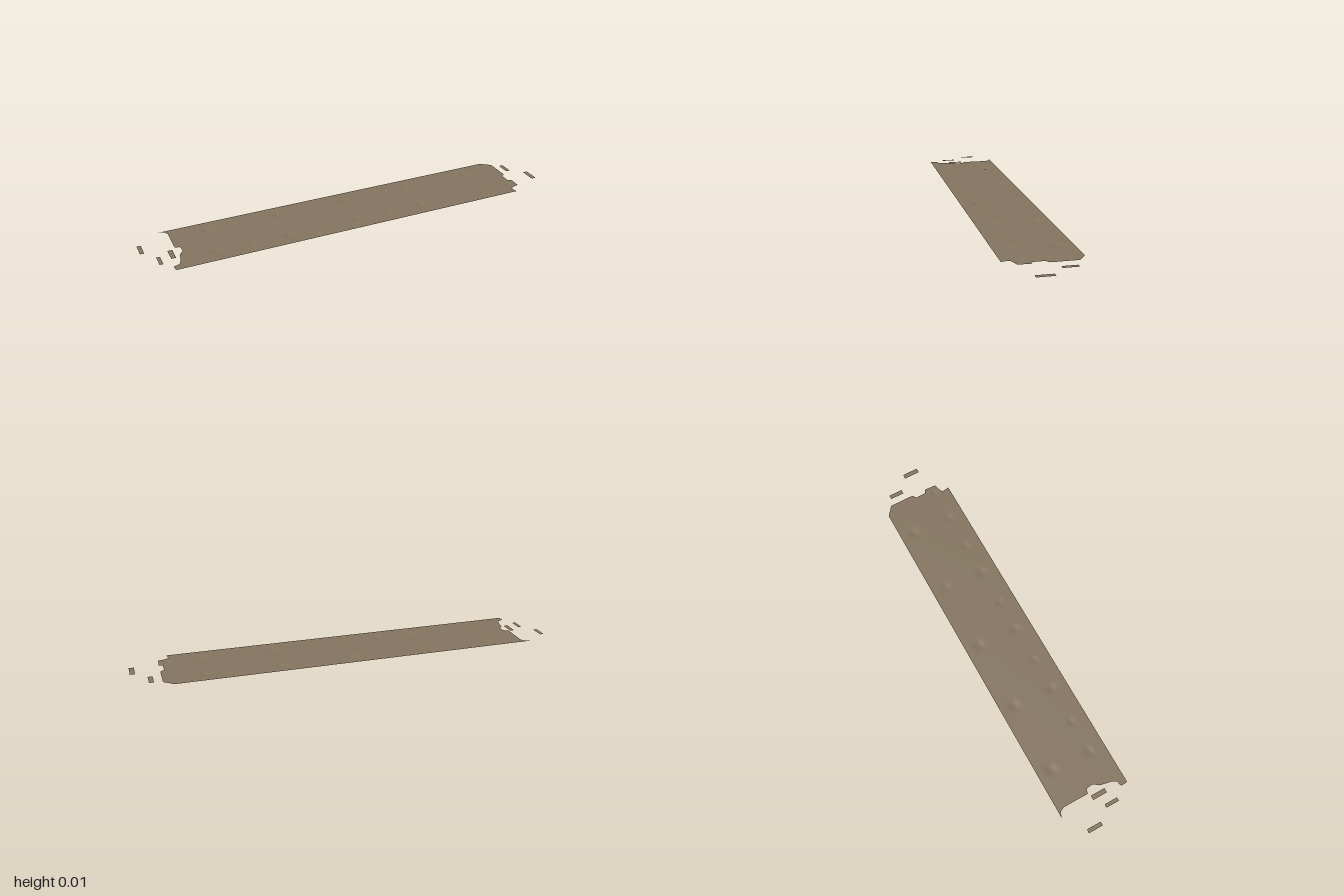
import * as THREE from 'three';

// Ragged end profiles as [across, along] pairs
const FAR_END = [[-0.224, 1.078], [-0.177, 1.138], [-0.021, 1.138], [-0.006, 1.114], [0.06, 1.114],
  [0.071, 1.138], [0.146, 1.134], [0.15, 1.105], [0.166, 1.071], [0.213, 1.078]];
const NEAR_END = [[-0.224, -1.138], [-0.212, -1.103], [-0.184, -1.089], [-0.021, -1.09], [-0.014, -1.061],
  [0.032, -1.057], [0.064, -1.082], [0.134, -1.096], [0.163, -1.11], [0.17, -1.145], [0.213, -1.142]];

function sample(profile, v) {
  for (let i = 1; i < profile.length; i++) {
    const [v0, u0] = profile[i - 1], [v1, u1] = profile[i];
    if (v <= v1) return THREE.MathUtils.lerp(u0, u1, Math.max(0, (v - v0) / (v1 - v0)));
  }
  return profile[profile.length - 1][1];
}

// Worn hollows repeating along the strip: [along, across, depth, radius]
const hollows = [];
for (let i = 0; i < 5; i++) {
  const u = 0.895 - i * 0.44;
  hollows.push([u, -0.135, 0.006, 0.028]);
  hollows.push([u - 0.015, 0.113, 0.006, 0.026]);
  hollows.push([u + 0.19, 0.113, 0.004, 0.02]);
}

function surfaceHeight(u, v) {
  let y = 0.01;
  for (const [hu, hv, depth, r] of hollows) {
    const du = (u - hu) / r, dv = (v - hv) / r;
    y -= depth * Math.exp(-du * du - dv * dv);
  }
  return Math.max(0, y);
}

export function createModel() {
  const model = new THREE.Group();
  model.name = 'dirtPath';
  const earth = new THREE.MeshStandardMaterial({ color: 0x84755f });
  earth.name = 'brown earth';
  earth.side = THREE.DoubleSide;

  // Everything lies along a diagonal
  const strip = new THREE.Group();
  strip.name = 'diagonalStrip';
  strip.rotation.y = Math.PI / 4;
  model.add(strip);

  // Main path sheet: a grid stretched between the two ragged ends
  const sheet = new THREE.PlaneGeometry(1, 0.437, 200, 88).rotateX(-Math.PI / 2);
  const pos = sheet.attributes.position;
  for (let i = 0; i < pos.count; i++) {
    const v = pos.getZ(i) - 0.0055;
    const u = THREE.MathUtils.lerp(sample(NEAR_END, v), sample(FAR_END, v), pos.getX(i) + 0.5);
    pos.setXYZ(i, u, surfaceHeight(u, v), v);
  }
  sheet.computeVertexNormals();
  const path = new THREE.Mesh(sheet, earth);
  path.name = 'path';
  strip.add(path);

  // Loose flat pieces beyond the ends: [x, z, length, width]
  const pieces = [[0.772, -0.925, 0.088, 0.028], [0.948, -0.882, 0.1, 0.03],
    [-0.96, 0.84, 0.092, 0.024], [-0.769, 0.817, 0.092, 0.028], [-0.796, 0.9, 0.083, 0.022]];
  for (const [x, z, length, width] of pieces) {
    const piece = new THREE.Mesh(new THREE.PlaneGeometry(width, length).rotateX(-Math.PI / 2), earth);
    piece.name = 'loosePiece';
    piece.position.set((x - z) * Math.SQRT1_2, 0.004, (x + z) * Math.SQRT1_2);
    strip.add(piece);
  }
  return model;
}
